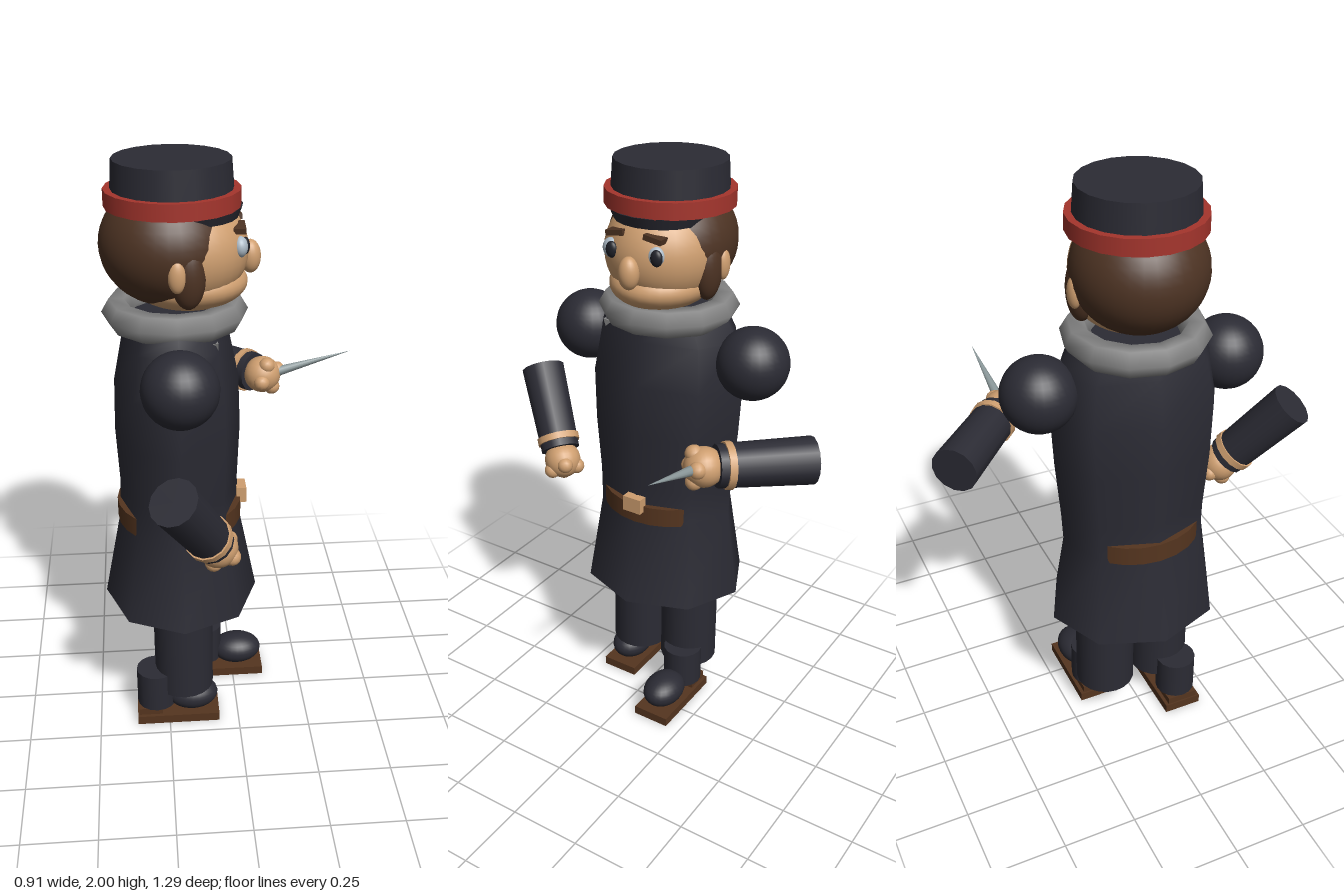
import * as THREE from 'three';

const paint = (name, color) => Object.assign(new THREE.MeshStandardMaterial({ color }), { name });

export function createModel() {
  const root = new THREE.Group();
  root.name = 'uniformedFigure';

  const cloth = paint('darkCloth', 0x2b2b34);
  const red = paint('redBand', 0xa5352d);
  const skin = paint('skin', 0xcf9f70);
  const hair = paint('brownHair', 0x4d3323);
  const wool = paint('greyCollar', 0x858585);
  const leather = paint('brownLeather', 0x55351f);
  const steel = paint('steel', 0x8d9a9c);
  const eyeWhite = paint('eyeWhite', 0xaebcc8);
  const pupilDark = paint('pupil', 0x20222a);

  const add = (parent, name, geo, mat, x = 0, y = 0, z = 0) => {
    const m = new THREE.Mesh(geo, mat);
    m.name = name;
    m.position.set(x, y, z);
    parent.add(m);
    return m;
  };
  const ball = (parent, name, mat, x, y, z, rx, ry = rx, rz = rx, seg = 24) => {
    const m = add(parent, name, new THREE.SphereGeometry(1, seg, Math.round(seg * 0.7)), mat, x, y, z);
    m.scale.set(rx, ry, rz);
    return m;
  };
  const drum = (parent, name, mat, x, y, z, top, bottom, h, seg = 16) =>
    add(parent, name, new THREE.CylinderGeometry(top, bottom, h, seg), mat, x, y, z);
  const box = (parent, name, mat, x, y, z, w, h, d) =>
    add(parent, name, new THREE.BoxGeometry(w, h, d), mat, x, y, z);

  const CX = -0.192; // body axis; the figure looks along +x

  // Coat: eight-sided oval cross-sections, [y, half depth, half width]
  const rings = [
    [0.46, 0.268, 0.3], [0.78, 0.205, 0.255], [0.9, 0.2, 0.262], [1.1, 0.21, 0.28],
    [1.28, 0.205, 0.29], [1.43, 0.175, 0.265], [1.5, 0.155, 0.22]];
  const sides = 8, pos = [], idx = [];
  for (const [y, rx, rz] of rings) {
    for (let i = 0; i < sides; i++) {
      const a = (i / sides) * Math.PI * 2;
      pos.push(Math.cos(a) * rx, y, Math.sin(a) * rz);
    }
  }
  for (let r = 0; r < rings.length - 1; r++) {
    for (let i = 0; i < sides; i++) {
      const a = r * sides + i, b = r * sides + (i + 1) % sides;
      idx.push(a, a + sides, b, b, a + sides, b + sides);
    }
  }
  const coatGeo = new THREE.BufferGeometry();
  coatGeo.setAttribute('position', new THREE.Float32BufferAttribute(pos, 3));
  coatGeo.setIndex(idx);
  coatGeo.computeVertexNormals();
  add(root, 'coat', coatGeo, cloth, CX);
  // Flat closures of the coat, top and hem
  for (const [name, ring, tilt] of [['coatTop', rings[6], -1], ['coatHem', rings[0], 1]]) {
    const lid = add(root, name, new THREE.CircleGeometry(1, sides), cloth, CX, ring[0], 0);
    lid.rotation.x = tilt * Math.PI / 2;
    lid.scale.set(ring[1], ring[2], 1);
  }

  // Belt and buckle
  const belt = drum(root, 'belt', leather, CX, 0.803, 0, 0.213, 0.213, 0.068, 24);
  belt.scale.z = 1.08;
  box(root, 'buckle', skin, 0.022, 0.843, 0, 0.034, 0.055, 0.07);

  // Collar and its lapel tip
  const collar = add(root, 'collar', new THREE.TorusGeometry(0.187, 0.049, 6, 12), wool, CX, 1.513, 0);
  collar.rotation.x = Math.PI / 2;
  const tip = new THREE.Shape([[0.18, 1.46], [0.09, 1.45], [0.165, 1.418]]
    .map(([z, y]) => new THREE.Vector2(-z, y - 1.44)));
  const lapel = add(root, 'lapelTip',
    new THREE.ExtrudeGeometry(tip, { depth: 0.03, bevelEnabled: false }), wool, -0.095, 1.44, 0);
  lapel.rotation.y = Math.PI / 2;

  // Head
  const head = new THREE.Group();
  head.name = 'head';
  root.add(head);
  ball(head, 'face', skin, -0.16, 1.715, 0, 0.205, 0.185, 0.192, 32);
  ball(head, 'jaw', skin, -0.145, 1.61, 0, 0.187, 0.085, 0.165, 32);
  ball(head, 'hair', hair, -0.212, 1.735, 0, 0.215, 0.195, 0.212, 32);
  ball(head, 'nose', skin, 0.05, 1.685, 0, 0.034, 0.054, 0.035);
  for (const s of [1, -1]) {
    ball(head, 'sideburn', hair, -0.155, 1.675, s * 0.165, 0.055, 0.105, 0.045);
    ball(head, 'ear', skin, -0.19, 1.685, s * 0.2, 0.028, 0.052, 0.022);
    ball(head, 'eye', eyeWhite, 0.01, 1.742, s * 0.083 + 0.008, 0.024, 0.033, 0.03);
    ball(head, 'pupil', pupilDark, 0.027, 1.742, s * 0.083 - 0.004, 0.014, 0.027, 0.021);
    box(head, 'eyebrow', hair, 0.008, 1.797, s * 0.07, 0.04, 0.018, 0.065).rotation.x = s * 0.15;
  }

  // Cap
  drum(head, 'capCrown', cloth, CX, 1.935, 0, 0.185, 0.194, 0.13, 20);
  drum(head, 'capBand', red, CX, 1.882, 0, 0.214, 0.214, 0.054, 20);
  const visor = drum(head, 'visor', cloth, -0.13, 1.838, 0, 0.165, 0.15, 0.036, 20);
  visor.scale.x = 0.95;

  // Arms: built along local +y from the open sleeve end to the hand
  const arm = (name, from, to) => {
    const g = new THREE.Group();
    g.name = name;
    const a = new THREE.Vector3(...from), dir = new THREE.Vector3(...to).sub(a).normalize();
    g.position.copy(a);
    g.quaternion.setFromUnitVectors(new THREE.Vector3(0, 1, 0), dir);
    drum(g, 'sleeve', cloth, 0, 0.16, 0, 0.071, 0.079, 0.32, 14);
    drum(g, 'cuffBand', skin, 0, 0.282, 0, 0.078, 0.078, 0.024, 14);
    ball(g, 'hand', skin, 0, 0.36, 0, 0.066);
    for (let i = 0; i < 4; i++) {
      const t = 0.5 + i * Math.PI / 2;
      ball(g, 'finger', skin, Math.cos(t) * 0.045, 0.392, Math.sin(t) * 0.045, 0.029, 0.029, 0.029, 14);
    }
    root.add(g);
  };
  arm('rightArm', [-0.228, 1.125, 0.575], [-0.08, 0.84, 0.38]);
  arm('leftArm', [-0.125, 1.122, -0.588], [0.14, 1.138, -0.325]);

  // Blade held in the left hand
  const hilt = new THREE.Vector3(0.17, 1.145, -0.328), point = new THREE.Vector3(0.45, 1.22, -0.33);
  const along = point.clone().sub(hilt);
  const blade = add(root, 'blade', new THREE.ConeGeometry(0.019, along.length(), 10), steel);
  blade.position.copy(hilt).lerp(point, 0.5);
  blade.quaternion.setFromUnitVectors(new THREE.Vector3(0, 1, 0), along.normalize());

  // Shoulders, legs and boots; the left foot stands forward
  for (const s of [1, -1]) {
    ball(root, 'shoulder', cloth, CX, 1.37, s * 0.323, 0.122, 0.122, 0.122, 28);
    drum(root, 'leg', cloth, CX, 0.32, s * 0.106, 0.104, 0.104, 0.4, 20);

    const boot = new THREE.Group();
    boot.name = s > 0 ? 'rightBoot' : 'leftBoot';
    boot.position.set(s > 0 ? -0.218 : -0.035, 0, s * 0.13);
    box(boot, 'sole', leather, 0, 0.016, 0, 0.295, 0.032, 0.135);
    box(boot, 'heel', leather, -0.1, 0.044, 0, 0.085, 0.026, 0.11);
    drum(boot, 'shaft', cloth, -0.076, 0.13, 0, 0.07, 0.07, 0.14);
    ball(boot, 'toe', cloth, 0.053, 0.085, 0, 0.092, 0.056, 0.07);
    root.add(boot);
  }

  return root;
}
